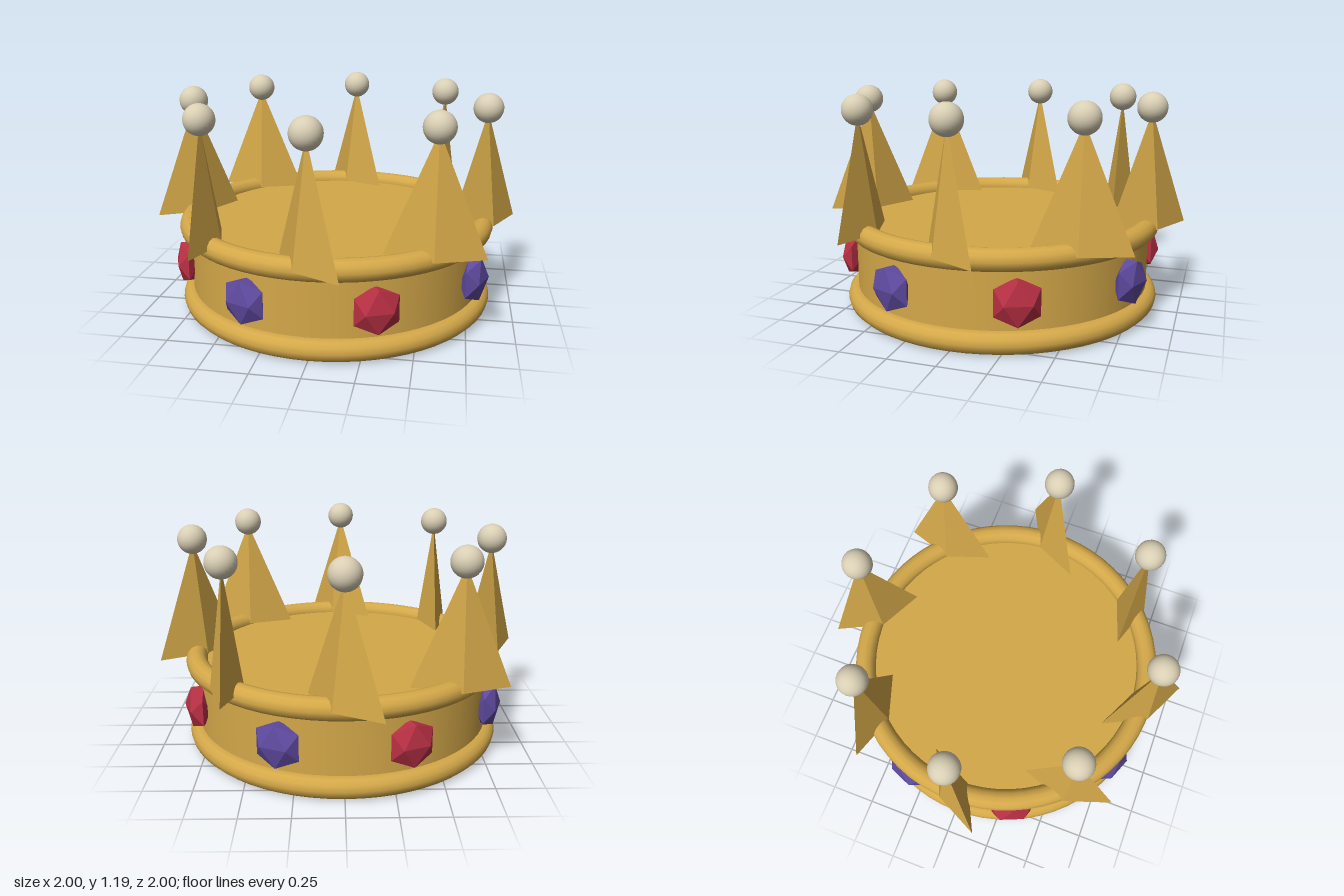
import * as THREE from 'three';

export function createModel() {
  const crown = new THREE.Group();
  crown.name = 'crown';

  const material = (name, color, flatShading = false) => {
    const m = new THREE.MeshStandardMaterial({ color, flatShading });
    m.name = name;
    return m;
  };
  const gold = material('gold', 0xd4a849);
  const pearl = material('pearl', 0xd9cfb4);
  const red = material('red gem', 0xb93044, true);
  const purple = material('purple gem', 0x5f4a9f, true);

  const add = (name, geometry, mat, x, y, z, turn = 0) => {
    const mesh = new THREE.Mesh(geometry, mat);
    mesh.name = name;
    mesh.position.set(x, y, z);
    mesh.rotation.y = turn;
    crown.add(mesh);
    return mesh;
  };

  // Solid band with a rounded rim at its foot and top
  const R = 0.82;
  add('band', new THREE.CylinderGeometry(R, R, 0.408, 64), gold, 0, 0.264, 0);
  const rim = new THREE.TorusGeometry(R, 0.058, 12, 64).rotateX(Math.PI / 2);
  add('bottomRim', rim, gold, 0, 0.058, 0);
  add('topRim', rim, gold, 0, 0.468, 0);

  // Flattened four-sided spike, long axis on x, with faceted normals
  const spike = new THREE.ConeGeometry(0.253, 0.62, 4).scale(1, 1, 0.34).toNonIndexed();
  spike.computeVertexNormals();
  const ball = new THREE.SphereGeometry(0.08, 24, 16);
  // Faceted gem, shallow along its radial x axis
  const gem = new THREE.IcosahedronGeometry(0.132, 0).scale(0.5, 1, 1);
  gem.computeVertexNormals();

  for (let i = 0; i < 8; i++) {
    // Spike set at 45 degrees to the rim, topped by a pearl
    const a = (i * Math.PI) / 4;
    const x = R * Math.cos(a);
    const z = R * Math.sin(a);
    add('spike', spike, gold, x, 0.784, z, Math.PI / 4 - a);
    add('pearl', ball, pearl, x, 1.112, z);

    // Gem between each pair of spikes, alternating in colour
    const b = a + Math.PI / 8;
    add('gem', gem, i % 2 ? red : purple, 0.845 * Math.cos(b), 0.266, 0.845 * Math.sin(b), -b);
  }
  return crown;
}
